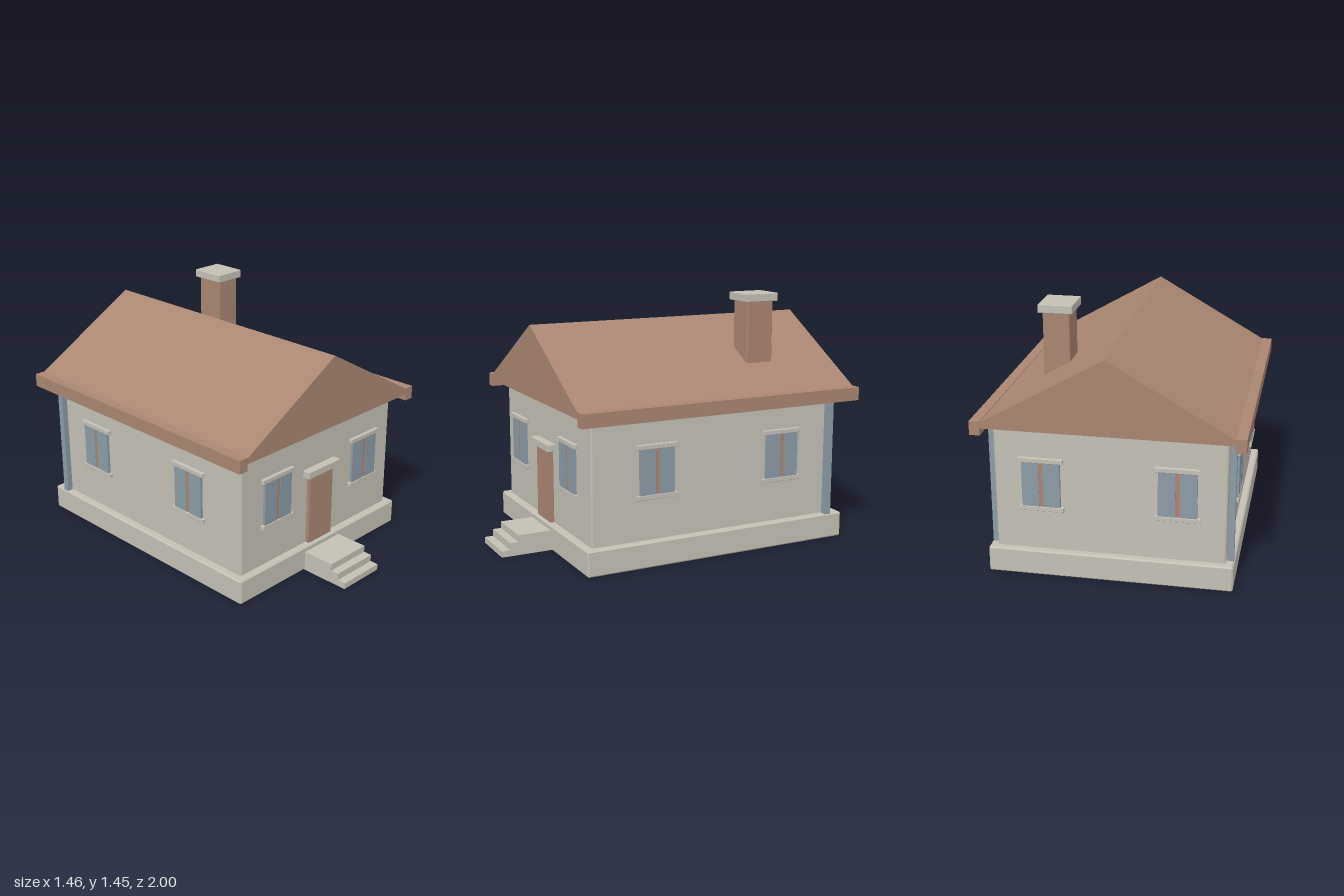
import * as THREE from 'three';
import { ConvexGeometry } from 'three/addons/geometries/ConvexGeometry.js';

function mat(name, color) {
  const m = new THREE.MeshStandardMaterial({ color });
  m.name = name;
  return m;
}

function add(parent, name, geometry, material) {
  const mesh = new THREE.Mesh(geometry, material);
  mesh.name = name;
  parent.add(mesh);
  return mesh;
}

// Box given by its minimum and maximum on each axis
function box(parent, name, material, x0, x1, y0, y1, z0, z1) {
  const mesh = add(parent, name, new THREE.BoxGeometry(x1 - x0, y1 - y0, z1 - z0), material);
  mesh.position.set((x0 + x1) / 2, (y0 + y1) / 2, (z0 + z1) / 2);
  return mesh;
}

// Box with chamfered edges, given the same way
function chamferBox(parent, name, material, x0, x1, y0, y1, z0, z1, c) {
  const half = [(x1 - x0) / 2, (y1 - y0) / 2, (z1 - z0) / 2];
  const points = [];
  for (const sx of [-1, 1]) for (const sy of [-1, 1]) for (const sz of [-1, 1]) {
    for (let full = 0; full < 3; full++) {
      const p = half.map((h, i) => (i === full ? h : h - c));
      points.push(new THREE.Vector3(sx * p[0], sy * p[1], sz * p[2]));
    }
  }
  const mesh = add(parent, name, new ConvexGeometry(points), material);
  mesh.position.set((x0 + x1) / 2, (y0 + y1) / 2, (z0 + z1) / 2);
  return mesh;
}

// Side profile in x and y, pushed from z0 to z1
function prism(parent, name, material, points, depth) {
  const shape = new THREE.Shape(points.map(([x, y]) => new THREE.Vector2(x, y)));
  return add(parent, name, new THREE.ExtrudeGeometry(shape, { depth, bevelEnabled: false }), material);
}

export function createModel() {
  const stone = mat('pale stone', 0xc4c0b5);
  const brown = mat('clay brown', 0xaa8672);
  const blue = mat('slate blue', 0x8c9ca8);

  const house = new THREE.Group();
  house.name = 'house';

  // Plinth and walls
  chamferBox(house, 'plinth', stone, -0.675, 0.675, 0, 0.147, -0.943, 0.703, 0.008);
  chamferBox(house, 'walls', stone, -0.632, 0.632, 0.13, 0.872, -0.903, 0.66, 0.008);

  // Gable roof
  const roof = prism(house, 'roof', brown,
    [[-0.672, 0.87], [0.672, 0.87], [0.672, 0.903], [0, 1.287], [-0.672, 0.903]], 1.75);
  roof.position.z = -1;

  // Eave gutters and back downpipes on both sides
  for (const s of [-1, 1]) {
    const side = s < 0 ? 'right' : 'left';
    const gutter = box(house, side + 'Gutter', brown, 0.672, 0.73, 0.83, 0.907, -1, 0.75);
    const pipe = box(house, side + 'Downpipe', blue, 0.636, 0.67, 0.14, 0.872, -0.867, -0.828);
    gutter.position.x *= s;
    pipe.position.x *= s;
  }

  // Chimney
  const chimney = new THREE.Group();
  chimney.name = 'chimney';
  house.add(chimney);
  chamferBox(chimney, 'chimneyStack', brown, 0.277, 0.425, 0.95, 1.402, -0.592, -0.42, 0.004);
  chamferBox(chimney, 'chimneyCap', stone, 0.256, 0.447, 1.4, 1.447, -0.612, -0.4, 0.003);

  // Door with lintel
  box(house, 'door', brown, -0.097, 0.097, 0.145, 0.572, 0.65, 0.684);
  chamferBox(house, 'doorLintel', stone, -0.132, 0.132, 0.572, 0.616, 0.656, 0.707, 0.003);

  // Entrance steps as one stair profile
  const stairs = prism(house, 'steps', stone, [
    [0.69, 0], [1, 0], [1, 0.036], [0.95, 0.036], [0.95, 0.077],
    [0.9, 0.077], [0.9, 0.117], [0.69, 0.117],
  ], 0.296);
  stairs.rotation.y = -Math.PI / 2;
  stairs.position.x = 0.148;

  // Window facing +z, its middle depth at z = 0
  function addWindow(name, x, z, turn) {
    const win = new THREE.Group();
    win.name = name;
    for (const s of [-1, 1]) {
      const pane = box(win, 'pane', blue, 0.012, 0.105, 0.408, 0.668, -0.008, 0.008);
      pane.position.x *= s;
    }
    box(win, 'mullion', brown, -0.012, 0.012, 0.408, 0.668, -0.005, 0.005);
    chamferBox(win, 'sill', stone, -0.123, 0.123, 0.385, 0.411, -0.011, 0.011, 0.002);
    chamferBox(win, 'lintel', stone, -0.123, 0.123, 0.665, 0.691, -0.011, 0.011, 0.002);
    win.position.set(x, 0, z);
    win.rotation.y = turn;
    house.add(win);
  }

  // Two windows on every wall
  for (const s of [-1, 1]) {
    addWindow('frontWindow', s * 0.37, 0.685, 0);
    addWindow('backWindow', s * 0.37, -0.924, Math.PI);
    for (const z of [0.28, -0.52]) {
      addWindow(s < 0 ? 'rightWindow' : 'leftWindow', s * 0.657, z, s * Math.PI / 2);
    }
  }

  return house;
}
